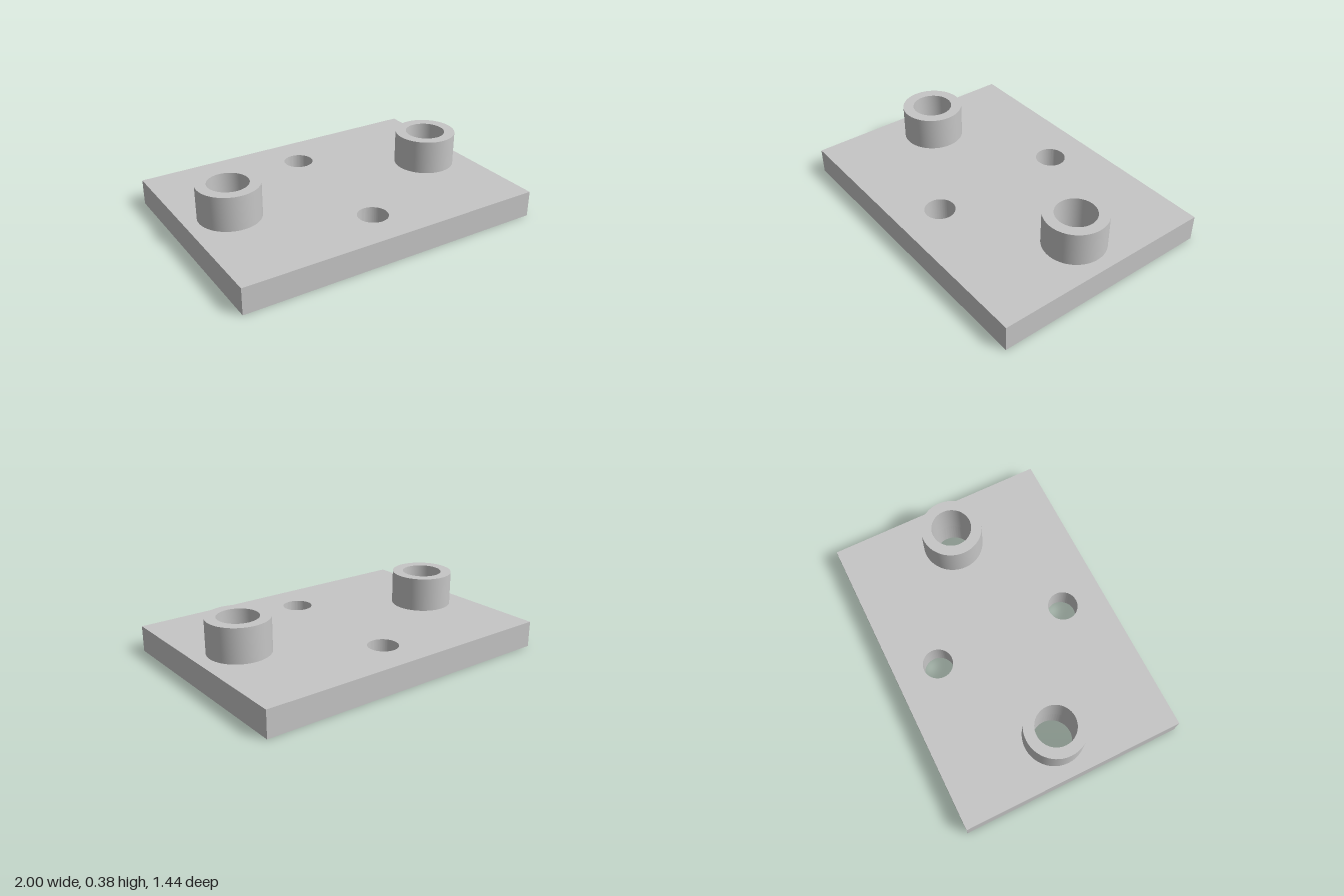
import * as THREE from 'three';
import { toCreasedNormals } from 'three/addons/utils/BufferGeometryUtils.js';

const PLATE = { width: 2, depth: 1.44, height: 0.167 };
const BOSS = { x: 0.72, outer: 0.195, bore: 0.127, top: 0.385 };
const BOLT = { z: 0.443, radius: 0.095 };
const SEGMENTS = 64;

export function createModel() {
  const model = new THREE.Group();
  model.name = 'mountingPlate';
  const grey = new THREE.MeshStandardMaterial({ color: 0xc6c6c6 });
  grey.name = 'light grey';

  const add = (name, geometry) => {
    const mesh = new THREE.Mesh(toCreasedNormals(geometry, Math.PI / 6), grey);
    mesh.name = name;
    model.add(mesh);
    return mesh;
  };

  // Base plate with two bores and two bolt holes
  const w = PLATE.width / 2, d = PLATE.depth / 2;
  const outline = new THREE.Shape([
    new THREE.Vector2(-w, -d), new THREE.Vector2(w, -d),
    new THREE.Vector2(w, d), new THREE.Vector2(-w, d),
  ]);
  const drill = (x, y, radius) =>
    outline.holes.push(new THREE.Path().absarc(x, y, radius, 0, Math.PI * 2, true));
  for (const side of [-1, 1]) {
    drill(side * BOSS.x, 0, BOSS.bore);
    drill(0, side * BOLT.z, BOLT.radius);
  }
  const plate = new THREE.ExtrudeGeometry(outline, {
    depth: PLATE.height, bevelEnabled: false, curveSegments: SEGMENTS,
  });
  add('basePlate', plate.rotateX(-Math.PI / 2));

  // Hollow bosses: outer wall, top rim and bore wall
  const profile = [
    [BOSS.outer, PLATE.height], [BOSS.outer, BOSS.top],
    [BOSS.bore, BOSS.top], [BOSS.bore, PLATE.height],
  ].map(([r, y]) => new THREE.Vector2(r, y));
  for (const [name, side] of [['leftBoss', 1], ['rightBoss', -1]]) {
    add(name, new THREE.LatheGeometry(profile, SEGMENTS)).position.x = side * BOSS.x;
  }

  return model;
}
